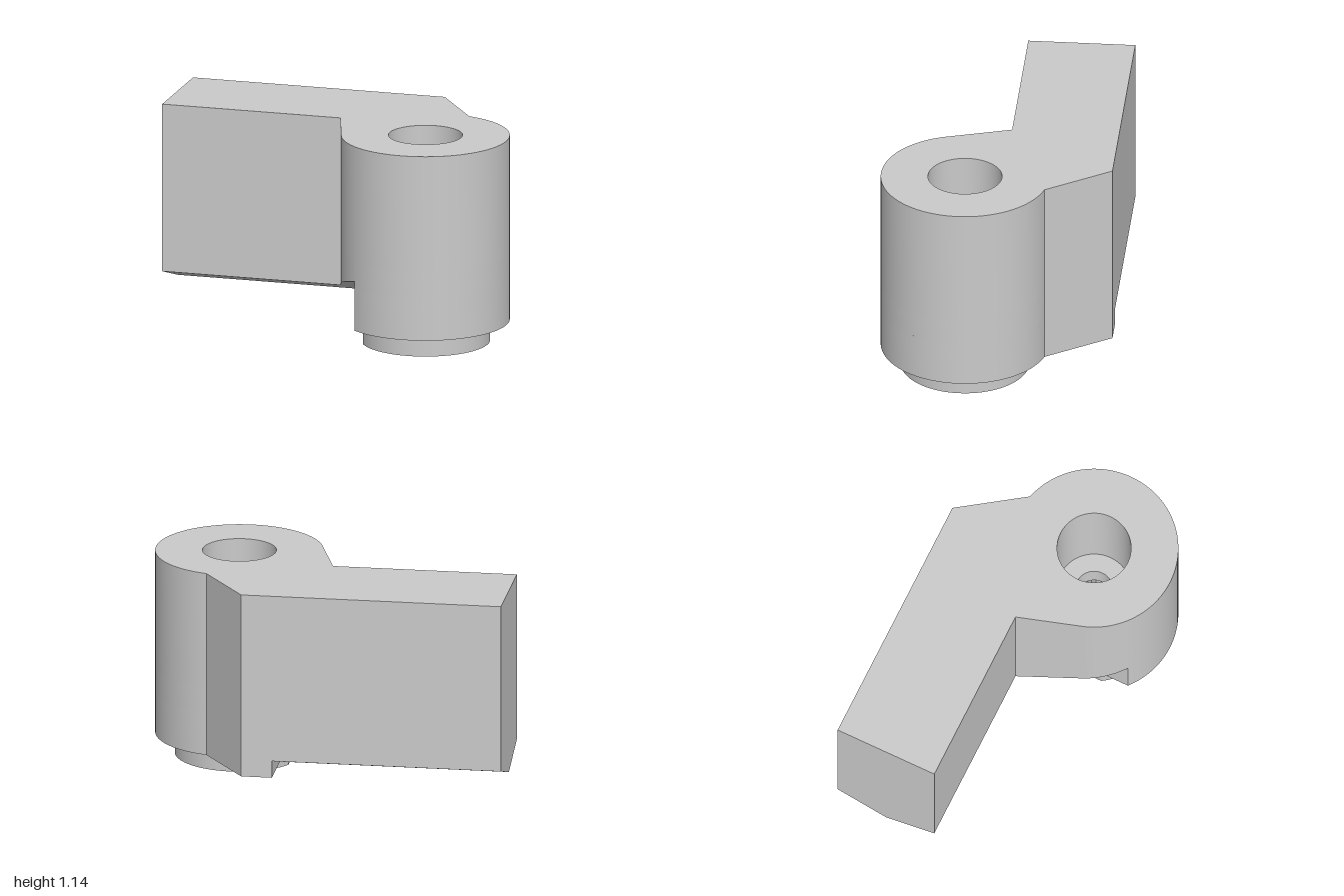
import * as THREE from 'three';
import { toCreasedNormals } from 'three/addons/utils/BufferGeometryUtils.js';

const CX = 0.545, CZ = 0.167, R = 0.455; // hub axis and radius
const STEP = 0.25;                       // x where the arm's bevelled underside ends
const BASE = 0.117, TOP = 1.145;
const BACK = -0.621, FRONT = -0.041, RIDGE = -0.331;

// points on a circle around the hub axis, angles in radians from +x toward +z
function arc(r, from, to, n) {
  return Array.from({ length: n + 1 }, (_, i) => {
    const a = from + (to - from) * i / n;
    return [CX + r * Math.cos(a), CZ + r * Math.sin(a)];
  });
}

const toVectors = (points) => points.map(([x, z]) => new THREE.Vector2(x, -z));

// upright prism from a plan outline of [x, z] points; the hole is wound the other way
function prism(outline, y0, y1, hole) {
  const shape = new THREE.Shape(toVectors(outline));
  if (hole) shape.holes.push(new THREE.Path(toVectors(hole).reverse()));
  const g = new THREE.ExtrudeGeometry(shape, { depth: y1 - y0, bevelEnabled: false });
  return g.rotateX(-Math.PI / 2).translate(0, y0, 0);
}

// slope the underside up on both sides of the central ridge
function bevelUnderside(g) {
  const p = g.attributes.position;
  for (let i = 0; i < p.count; i++) {
    if (p.getY(i) < BASE + 0.01) p.setY(i, BASE + 0.325 * Math.abs(p.getZ(i) - RIDGE));
  }
  return g;
}

export function createModel() {
  const group = new THREE.Group();
  const grey = new THREE.MeshStandardMaterial({ color: 0xcacaca });
  grey.name = 'plain grey';
  const add = (name, geometry) => {
    const mesh = new THREE.Mesh(toCreasedNormals(geometry, 0.4), grey);
    mesh.name = name;
    group.add(mesh);
  };

  // angles where the hub meets the back slope, the step and the front flank
  const aBack = Math.atan2(-0.273 - CZ, 0.66 - CX);
  const aStep = Math.acos((STEP - CX) / R);
  const aFlank = 2.81;

  // bores: counterbore on top, screw hole in the web, toothed socket below
  const circle = (r) => arc(r, 0, Math.PI * 2, 64).slice(0, -1);
  const teeth = [];
  for (let i = 0; i < 48; i++) {
    const a = i * Math.PI / 24, r = i % 2 ? 0.168 : 0.192;
    teeth.push([CX + r * Math.cos(a), CZ + r * Math.sin(a)]);
  }

  // hub in three layers, one per bore
  const hub = [[STEP, BACK], [0.418, BACK], ...arc(R, aBack, aStep, 72)];
  add('hubSocket', prism(hub, BASE, 0.36, teeth));
  add('hubWeb', prism(hub, 0.36, 0.5, circle(0.101)));
  add('hubCounterbore', prism(hub, 0.5, TOP, circle(0.2)));

  // boss under the hub with one flat side
  const aFlat = Math.acos((STEP - CX) / 0.349);
  add('boss', prism(arc(0.349, -aFlat, aFlat, 72), 0, BASE, teeth));

  // arm, one half on each side of the ridge
  const backHalf = [[-1, BACK], [STEP, BACK], [STEP, RIDGE], [-1, RIDGE]];
  const frontHalf = [[-1, RIDGE], [STEP, RIDGE], ...arc(R, aStep, aFlank, 10), [0.003, FRONT], [-1, FRONT]];
  add('armBack', bevelUnderside(prism(backHalf, BASE, TOP)));
  add('armFront', bevelUnderside(prism(frontHalf, BASE, TOP)));

  return group;
}
